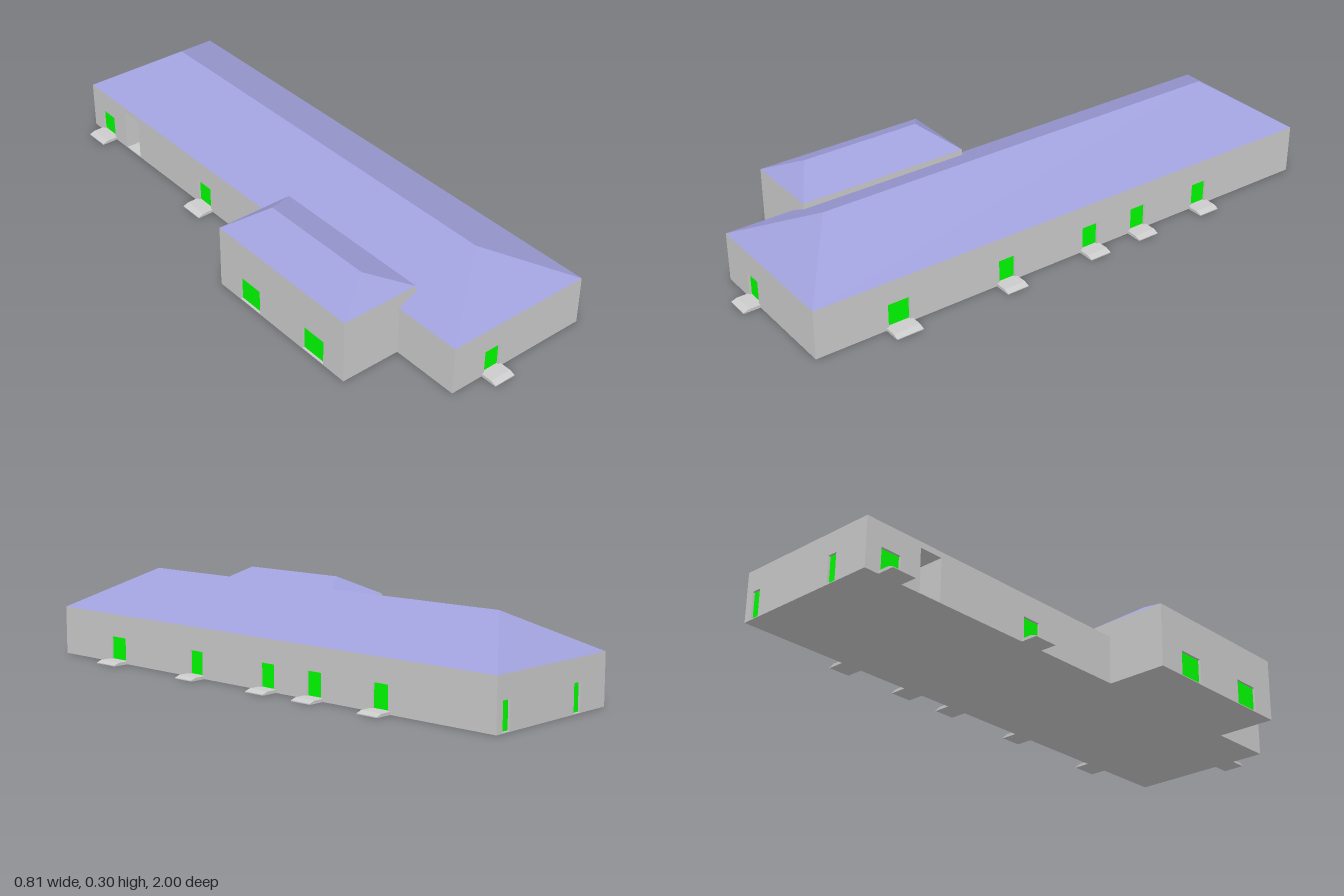
import * as THREE from 'three';

const wallMat = new THREE.MeshStandardMaterial({ color: 0xcccccc });
const roofMat = new THREE.MeshStandardMaterial({ color: 0xa0a0dc, flatShading: true });
const doorMat = new THREE.MeshStandardMaterial({ color: 0x00ff00 });
const T = 0.012; // wall thickness

function add(parent, name, geometry, material) {
  const mesh = new THREE.Mesh(geometry, material);
  mesh.name = name;
  parent.add(mesh);
  return mesh;
}

function box(parent, name, material, x0, x1, y0, y1, z0, z1) {
  const mesh = add(parent, name, new THREE.BoxGeometry(x1 - x0, y1 - y0, z1 - z0), material);
  mesh.position.set((x0 + x1) / 2, (y0 + y1) / 2, (z0 + z1) / 2);
  return mesh;
}

// Entrance slab with a sloped outer lip, pointing along local +z
function step(parent, u, width) {
  const profile = new THREE.Shape([
    [0, 0], [0.06, 0], [0.06, 0.003], [0.04, 0.01], [0, 0.01],
  ].map(([x, y]) => new THREE.Vector2(x, y)));
  const geo = new THREE.ExtrudeGeometry(profile, { depth: width, bevelEnabled: false });
  geo.translate(0, 0, -width / 2).rotateY(-Math.PI / 2);
  add(parent, 'entranceStep', geo, wallMat).position.x = u;
}

// Wall facing local +z from u0 to u1; each opening holds a recessed door or an open porch
function wall(parent, name, u0, u1, height, openings) {
  const g = new THREE.Group();
  g.name = name;
  const shape = new THREE.Shape();
  shape.moveTo(u0, 0).lineTo(u1, 0).lineTo(u1, height).lineTo(u0, height).closePath();
  for (const { u, w, y0 = 0.01, y1 = 0.09, stepWidth, porch } of openings) {
    const a = u - w / 2, b = u + w / 2;
    const hole = new THREE.Path();
    hole.moveTo(a, y0).lineTo(a, y1).lineTo(b, y1).lineTo(b, y0).closePath();
    shape.holes.push(hole);
    if (porch) {
      box(g, 'porchBack', wallMat, a - 0.01, b + 0.01, 0, y1, -porch - 0.01, -porch);
      box(g, 'porchSide', wallMat, a - 0.01, a, 0, y1, -porch, -T);
      box(g, 'porchSide', wallMat, b, b + 0.01, 0, y1, -porch, -T);
      box(g, 'porchCeiling', wallMat, a, b, y1, y1 + 0.01, -porch, -T);
    } else {
      box(g, 'door', doorMat, a, b, y0, y1, -T, -0.008);
    }
    if (stepWidth) step(g, u, stepWidth);
  }
  const geo = new THREE.ExtrudeGeometry(shape, { depth: T, bevelEnabled: false });
  add(g, 'wallPanel', geo.translate(0, 0, -T), wallMat);
  parent.add(g);
  return g;
}

// Four walls and a floor; the u of an opening is its world x (front, back) or z (sides)
function walls(parent, { x0, x1, z0, z1, h }, { front = [], back = [], left = [], right = [] }) {
  const flip = (list) => list.map((o) => ({ ...o, u: -o.u }));
  wall(parent, 'frontWall', x0, x1, h, front).position.z = z1;
  const b = wall(parent, 'backWall', -x1, -x0, h, flip(back));
  b.rotation.y = Math.PI;
  b.position.z = z0;
  const l = wall(parent, 'leftWall', -z1, -z0, h, flip(left));
  l.rotation.y = Math.PI / 2;
  l.position.x = x1;
  const r = wall(parent, 'rightWall', z0, z1, h, right);
  r.rotation.y = -Math.PI / 2;
  r.position.x = x0;
  box(parent, 'floor', wallMat, x0, x1, 0, 0.002, z0, z1);
}

// Hipped roof with a ridge along z
function hipRoof(parent, { x0, x1, z0, z1, h }, ridgeY, r0, r1) {
  const xm = (x0 + x1) / 2;
  const p = [[x0, h, z0], [x1, h, z0], [x1, h, z1], [x0, h, z1], [xm, ridgeY, r0], [xm, ridgeY, r1]];
  const geo = new THREE.BufferGeometry();
  geo.setAttribute('position', new THREE.Float32BufferAttribute(p.flat(), 3));
  geo.setIndex([
    3, 2, 5, 1, 0, 4,             // hip ends
    2, 1, 4, 2, 4, 5,             // +x slope
    0, 3, 5, 0, 5, 4,             // -x slope
    0, 1, 2, 0, 2, 3,             // underside
  ]);
  const flat = geo.toNonIndexed();
  flat.computeVertexNormals();
  add(parent, 'roof', flat, roofMat);
}

export function createModel() {
  const model = new THREE.Group();
  model.name = 'building';

  // Long main hall
  const hall = new THREE.Group();
  hall.name = 'mainHall';
  const hallSize = { x0: -0.192, x1: 0.345, z0: -1, z1: 0.942, h: 0.17 };
  walls(hall, hallSize, {
    front: [{ u: -0.031, w: 0.062, stepWidth: 0.08 }],
    back: [0.3, -0.047].map((u) => ({ u, w: 0.034, y0: 0.003, y1: 0.095 })),
    left: [
      { u: 0.648, w: 0.078, stepWidth: 0.095 },
      ...[0.243, -0.093, -0.297, -0.57].map((u) => ({ u, w: 0.062, stepWidth: 0.08 })),
    ],
    right: [
      { u: -0.903, w: 0.075, stepWidth: 0.09 },
      { u: -0.745, w: 0.085, y0: 0.003, y1: 0.15, porch: 0.09 },
      { u: -0.302, w: 0.07, stepWidth: 0.09 },
    ],
  });
  hipRoof(hall, hallSize, 0.304, -0.8, 0.74);
  model.add(hall);

  // Taller side annex, cutting into the hall roof
  const annex = new THREE.Group();
  annex.name = 'sideAnnex';
  const annexSize = { x0: -0.408, x1: -0.126, z0: 0.085, z1: 0.698, h: 0.223 };
  walls(annex, annexSize, {
    right: [0.24, 0.553].map((u) => ({ u, w: 0.1, y0: 0.003 })),
  });
  hipRoof(annex, annexSize, 0.29, 0.178, 0.608);
  model.add(annex);

  return model;
}
